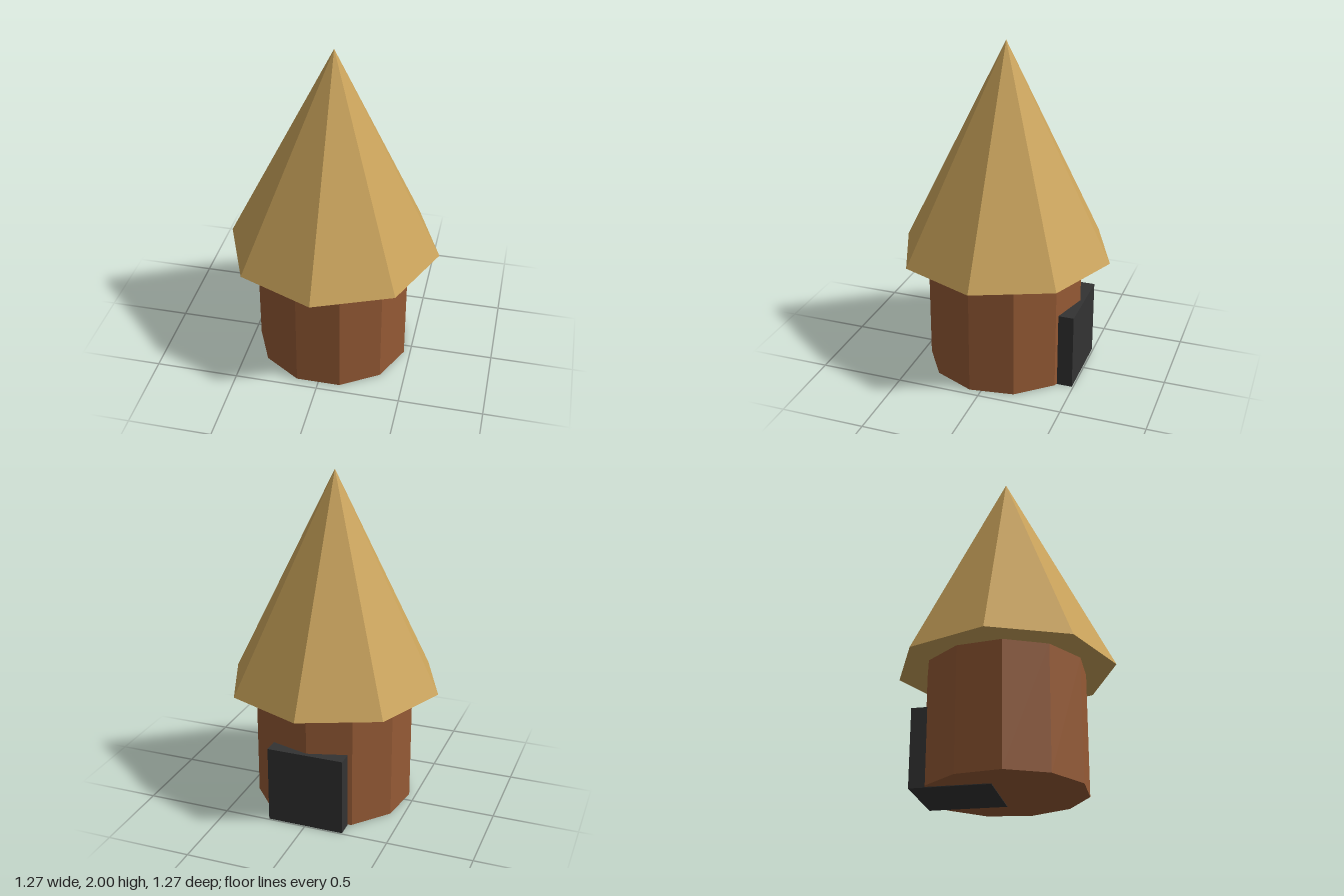
import * as THREE from 'three';

export function createModel() {
  const hut = new THREE.Group();
  hut.name = 'hut';

  const add = (name, geometry, color, x, y, z) => {
    const material = new THREE.MeshStandardMaterial({ color, flatShading: true });
    const mesh = new THREE.Mesh(geometry, material);
    mesh.name = name;
    mesh.position.set(x, y, z);
    hut.add(mesh);
    return mesh;
  };

  // Eleven-sided wall with one corner pointing to the back
  const wallBottom = 0.004, eaves = 0.73;
  const wallHeight = eaves - wallBottom;
  const wall = add('wall', new THREE.CylinderGeometry(0.467, 0.467, wallHeight, 11),
    0x955a35, 0, wallBottom + wallHeight / 2, 0);
  wall.rotation.y = Math.PI;

  // Eight-sided thatched roof, closed underneath
  const roofHeight = 2 - eaves;
  add('roof', new THREE.ConeGeometry(0.637, roofHeight, 8), 0xcba45b, 0, eaves + roofHeight / 2, 0);

  // Dark door block set into the back of the wall
  const door = 0.456;
  add('door', new THREE.BoxGeometry(door, 0.46, door), 0x333333, 0, 0.23, -0.492 + door / 2);

  return hut;
}
